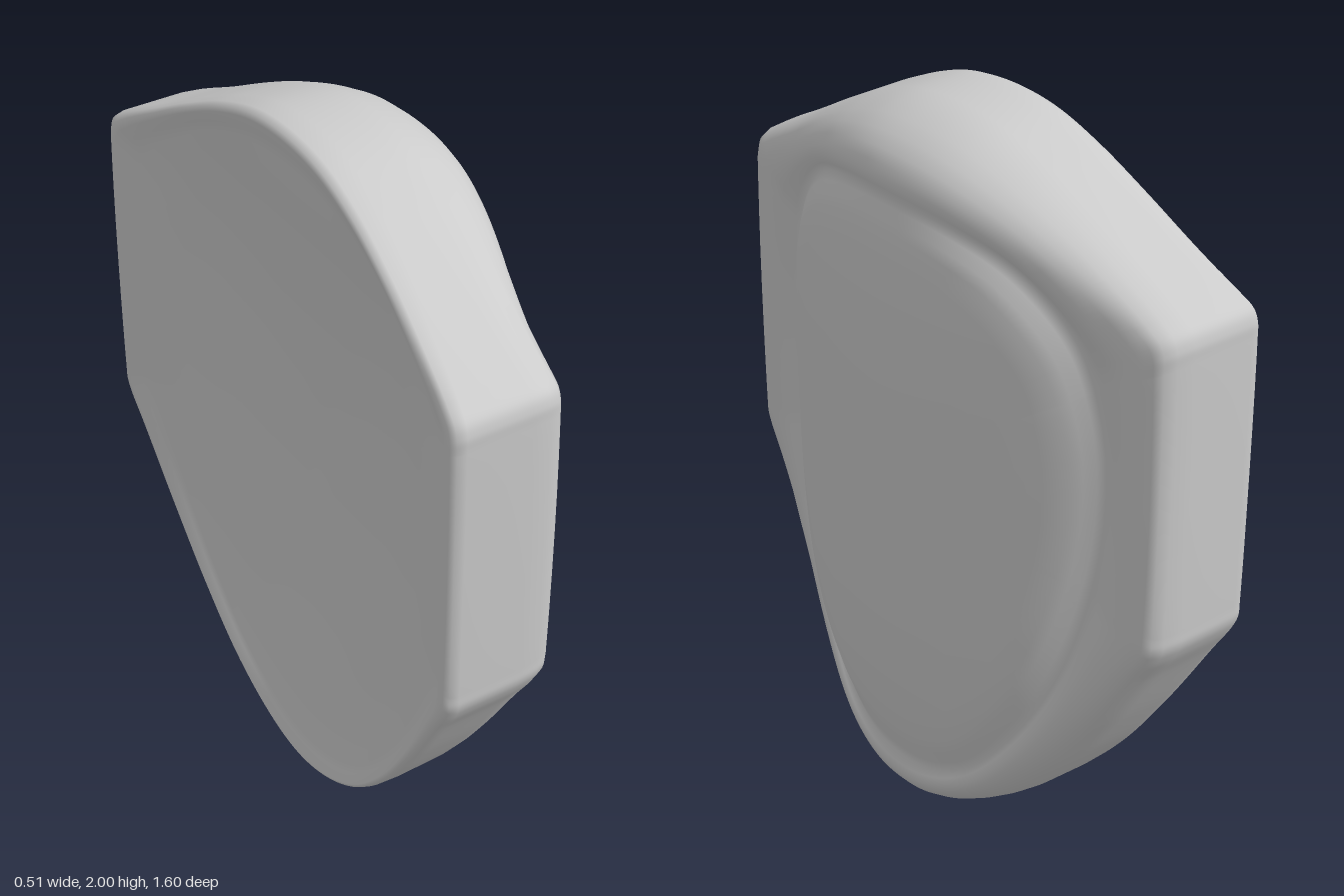
import * as THREE from 'three';

const CENTRE = new THREE.Vector2(0, 1.1);
const { lerp } = THREE.MathUtils;

// Half outlines as [z, y], from top to bottom
const OUTER = [[0, 2], [0.15, 1.985], [0.3, 1.935], [0.45, 1.862], [0.6, 1.78], [0.74, 1.705], [0.785, 1.675],
  [0.798, 1.645], [0.8, 1.6], [0.8, 0.88], [0.798, 0.835], [0.782, 0.795], [0.73, 0.71], [0.6, 0.495],
  [0.45, 0.28], [0.3, 0.125], [0.14, 0.03], [0, 0]];
const INNER = [[0, 1.795], [0.2, 1.78], [0.38, 1.72], [0.53, 1.58], [0.6, 1.38], [0.615, 1.2], [0.59, 0.95],
  [0.51, 0.66], [0.39, 0.42], [0.25, 0.25], [0.12, 0.185], [0, 0.17]];

// Mirror a half outline into a closed smooth loop
function loop(half, count) {
  const mirrored = half.slice(1, -1).reverse().map(([z, y]) => [-z, y]);
  const pts = [...half, ...mirrored].map(([z, y]) => new THREE.Vector3(z, y, 0));
  const curve = new THREE.CatmullRomCurve3(pts, true, 'centripetal');
  return curve.getPoints(count).slice(0, -1).map(p => new THREE.Vector2(p.x, p.y));
}

// Where the ray from the centre towards p crosses a loop
function castTo(pts, p) {
  const d = p.clone().sub(CENTRE).normalize();
  for (let i = 0; i < pts.length; i++) {
    const a = pts[i].clone().sub(CENTRE), b = pts[(i + 1) % pts.length].clone().sub(CENTRE);
    const ca = d.cross(a), cb = d.cross(b);
    if (ca * cb <= 0 && ca !== cb && a.dot(d) > 0) return a.lerp(b, ca / (ca - cb)).add(CENTRE);
  }
  return p.clone();
}

// Curved sheets that bound the shield in depth
const backX = z => -0.195 - 0.065 * Math.pow(Math.abs(z) / 0.8, 2.3);
const rimX = z => 0.04 + 0.17 * Math.exp(-Math.pow(Math.abs(z) / 0.55, 2.2));
const bossX = (z, y) => 0.257 - 0.4 * z * z - 0.35 * z ** 4 - 0.045 * (Math.abs(y - 1) / 0.8) ** 3.5;
const grooveX = z => rimX(z) - 0.014 - 0.026 * (z / 0.6) ** 2;

// Rim section: [inset, depth] at the sides and at the top and bottom tips
const SIDE = [[0.19, 0], [0.09, 0.012], [0.025, 0.05], [0, 0.13], [0, 0.68], [0.02, 0.85], [0.07, 0.94],
  [0.15, 0.985], [0.3, 1], [0.5, 1], [0.7, 0.96], [0.87, 0.89]];
const TIP = [[0.12, 0], [0.05, 0.015], [0.01, 0.06], [0, 0.2], [0.03, 0.47], [0.1, 0.62], [0.2, 0.75],
  [0.32, 0.86], [0.46, 0.94], [0.6, 0.99], [0.74, 1.01], [0.88, 1]];

function createShieldGeometry() {
  const outer = loop(OUTER, 260);
  const innerLoop = loop(INNER, 300);
  const inner = outer.map(p => castTo(innerLoop, p));
  const rings = [];

  // Dished back, from the middle outwards
  for (const k of [0, 0.2, 0.4, 0.6, 0.8, 0.92]) {
    rings.push(inner.map(n => {
      const p = CENTRE.clone().lerp(n, k);
      return [backX(p.x) + 0.035 + 0.058 * (1 - k * k), p.y, p.x];
    }));
  }
  // Back border, rising to a narrow lip
  for (const s of [1, 0.75, 0.5, 0.32]) {
    rings.push(outer.map((o, i) => {
      const p = o.clone().lerp(inner[i], s);
      return [backX(p.x) + 0.008 + 0.027 * s, p.y, p.x];
    }));
  }
  // Outer wall and rounded rim
  SIDE.forEach((side, r) => {
    rings.push(outer.map((o, i) => {
      const w = Math.min(1, (o.x / 0.8) ** 2);
      const inset = lerp(TIP[r][0], side[0], w);
      const depth = lerp(TIP[r][1], side[1], w);
      const p = o.clone().lerp(inner[i], inset);
      return [lerp(backX(p.x), rimX(p.x), depth), p.y, p.x];
    }));
  });
  // Groove and domed front panel
  for (const k of [1, 0.97, 0.93, 0.89, 0.8, 0.65, 0.5, 0.33, 0.16, 0]) {
    const blend = Math.max(0, (k - 0.85) / 0.15) ** 2;
    rings.push(inner.map(n => {
      const p = CENTRE.clone().lerp(n, k);
      const x = bossX(p.x, p.y);
      return [lerp(x, Math.min(x, grooveX(p.x)), blend), p.y, p.x];
    }));
  }

  // Join neighbouring rings; the first and last rings are single points
  const n = outer.length, index = [];
  for (let r = 0; r < rings.length - 1; r++) {
    for (let i = 0; i < n; i++) {
      const j = (i + 1) % n;
      const a = r * n + i, b = r * n + j, c = a + n, d = b + n;
      if (r > 0) index.push(a, b, d);
      if (r < rings.length - 2) index.push(a, d, c);
    }
  }
  const geometry = new THREE.BufferGeometry();
  geometry.setAttribute('position', new THREE.Float32BufferAttribute(rings.flat(2), 3));
  geometry.setIndex(index);
  geometry.computeVertexNormals();
  return geometry;
}

export function createModel() {
  const group = new THREE.Group();
  group.name = 'shield';
  const body = new THREE.Mesh(createShieldGeometry(), new THREE.MeshStandardMaterial({ color: 0xcccccc }));
  body.name = 'shieldBody';
  group.add(body);
  return group;
}
